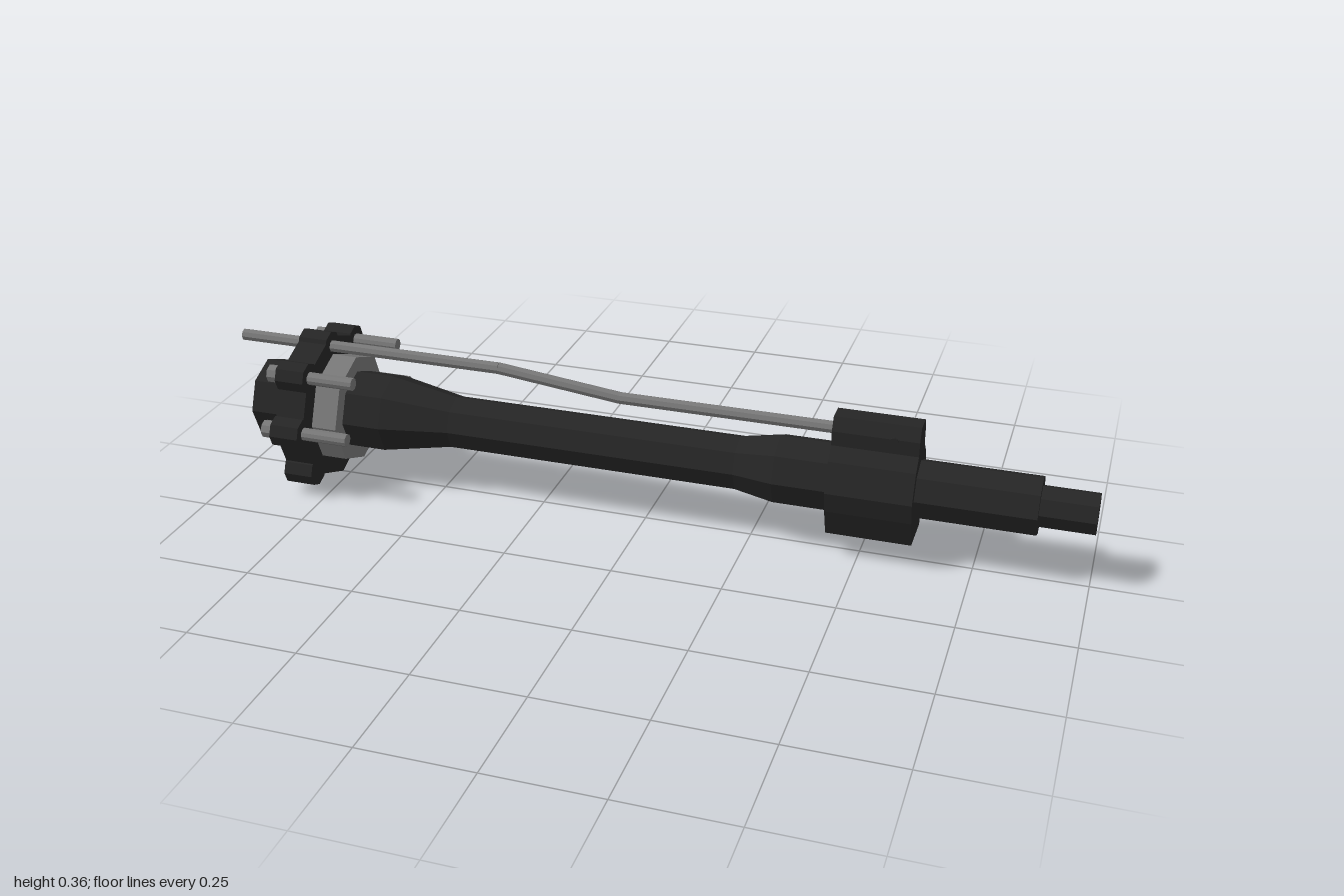
import * as THREE from 'three';

const AXIS = 0.18; // height of the bore axis

export function createModel() {
  const root = new THREE.Group();
  root.name = 'barrelAssembly';
  const dark = new THREE.MeshStandardMaterial({ color: 0x252525, flatShading: true });
  dark.name = 'blackened steel';
  const grey = new THREE.MeshStandardMaterial({ color: 0x777777, flatShading: true });
  grey.name = 'bare steel';

  const add = (name, geometry, material, x = 0, y = 0, z = 0) => {
    const mesh = new THREE.Mesh(geometry, material);
    mesh.name = name;
    mesh.position.set(x, y, z);
    root.add(mesh);
    return mesh;
  };
  // Solid prism lying along x, with a corner pointing up
  const rod = (name, r, x0, x1, y, z, material, sides = 8) =>
    add(name, new THREE.CylinderGeometry(r, r, x1 - x0, sides).rotateZ(-Math.PI / 2),
      material, (x0 + x1) / 2, y, z);

  // Barrel, bored at both ends
  const profile = [
    [0, -0.85], [0.04, -0.85], [0.04, -0.945], [0.094, -0.945], [0.094, -0.62],
    [0.063, -0.46], [0.063, 0.22], [0.08, 0.31], [0.08, 0.44], [0.067, 0.44],
    [0.067, 0.88], [0.047, 0.88], [0.047, 1], [0.02, 1], [0.02, 0.9], [0, 0.9],
  ].map(([r, x]) => new THREE.Vector2(r, x));
  add('barrel', new THREE.LatheGeometry(profile, 8).rotateZ(-Math.PI / 2), dark, 0, AXIS);

  // Flange with lugs all round except at the bottom
  rod('flange', 0.178, -0.84, -0.77, AXIS, 0, dark);
  for (const degrees of [-45, 0, 45, 90, 135, 180, 225]) {
    const a = THREE.MathUtils.degToRad(degrees);
    const reach = degrees === 90 ? 0.15 : 0.168;
    const y = AXIS + Math.sin(a) * reach;
    const z = Math.cos(a) * reach;
    rod('flangeLug', 0.036, -0.84, -0.77, y, z, dark);
    // Bolts in the side and upper lugs
    if ([0, 45, 135, 180].includes(degrees)) {
      rod('bolt', 0.015, -0.77, -0.66, y, z, grey, 10);
      rod('boltHead', 0.021, -0.87, -0.84, y, z, grey, 8);
    }
  }

  // Collar in front of the flange
  rod('collar', 0.13, -0.77, -0.71, AXIS, 0, grey);

  // Gas block, extruded along x from a symmetric outline
  const half = [
    [0.05, 0.064], [0.075, 0.13], [0.088, 0.18], [0.062, 0.245],
    [0.036, 0.272], [0.036, 0.305], [0.022, 0.335],
  ];
  const outline = [...half, ...half.map(([z, y]) => [-z, y]).reverse()];
  const shape = new THREE.Shape(outline.map(([z, y]) => new THREE.Vector2(z, y)));
  const block = new THREE.ExtrudeGeometry(shape, { depth: 0.19, bevelEnabled: false });
  add('gasBlock', block.rotateY(Math.PI / 2), dark, 0.43);
  add('gasBlockPin', new THREE.CylinderGeometry(0.01, 0.01, 0.076, 8).rotateX(Math.PI / 2),
    dark, 0.565, 0.3);

  // Gas tube, running back over the flange
  const path = [[-1, 0.331], [-0.35, 0.331], [-0.06, 0.298], [0.44, 0.298]];
  for (let i = 0; i < path.length - 1; i++) {
    const [x0, y0] = path[i];
    const [x1, y1] = path[i + 1];
    const length = Math.hypot(x1 - x0, y1 - y0);
    const tube = add('gasTube', new THREE.CylinderGeometry(0.014, 0.014, length, 8), grey,
      (x0 + x1) / 2, (y0 + y1) / 2);
    tube.rotation.z = Math.atan2(y1 - y0, x1 - x0) - Math.PI / 2;
  }
  return root;
}
